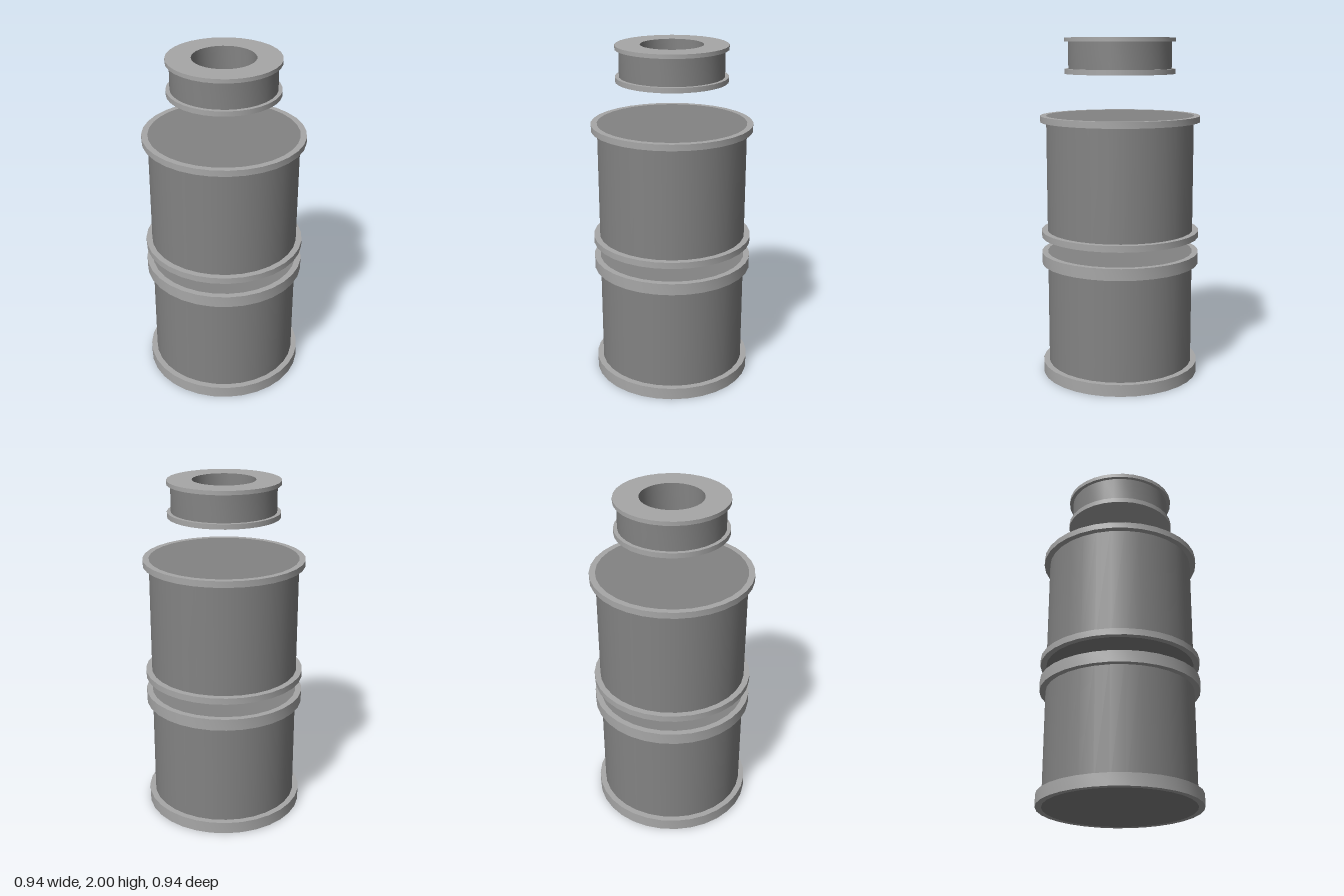
import * as THREE from 'three';
import { toCreasedNormals } from 'three/addons/utils/BufferGeometryUtils.js';

const SIDES = 32;
const darkGrey = new THREE.MeshStandardMaterial({ color: 0x838383 });
const lightGrey = new THREE.MeshStandardMaterial({ color: 0xa7a7a7 });

function addMesh(parent, name, geometry, material) {
  const mesh = new THREE.Mesh(geometry, material);
  mesh.name = name;
  parent.add(mesh);
}

// Closed drum between two heights
function drum(radius, y0, y1) {
  return new THREE.CylinderGeometry(radius, radius, y1 - y0, SIDES).translate(0, (y0 + y1) / 2, 0);
}

// Turned profile, listed from bottom to top along its outside, with sharp corners
function turned(profile) {
  const points = profile.map(([r, y]) => new THREE.Vector2(r, y));
  return toCreasedNormals(new THREE.LatheGeometry(points, SIDES), Math.PI / 6);
}

// Flange that sits around a drum
function flange(inner, outer, y0, y1) {
  return turned([[inner, y0], [outer, y0], [outer, y1], [inner, y1]]);
}

// Dark solid drum with a lighter flange flush with each end
function makeSection(name, y0, y1, bottomRim, topRim) {
  const section = new THREE.Group();
  section.name = name;
  const inner = 0.433, outer = 0.468;
  addMesh(section, 'drumBody', drum(inner, y0, y1), darkGrey);
  addMesh(section, 'bottomFlange', flange(inner, outer, y0, y0 + bottomRim), lightGrey);
  addMesh(section, 'topFlange', flange(inner, outer, y1 - topRim, y1), lightGrey);
  return section;
}

// Small neck with a blind bore, open at the top
function makeNeck() {
  const neck = new THREE.Group();
  neck.name = 'neck';
  const bore = 0.18, barrel = 0.3, rim = 0.322;
  const floor = 1.823, lip = 1.977, top = 2;
  addMesh(neck, 'neckBase', drum(rim, 1.794, floor), lightGrey);
  addMesh(neck, 'neckBarrel', turned([[barrel, floor], [barrel, lip]]), darkGrey);
  addMesh(neck, 'neckRim', turned([[barrel, lip], [rim, lip], [rim, top], [bore, top]]), lightGrey);
  addMesh(neck, 'neckBore', turned([[bore, top], [bore, floor]]), darkGrey);
  return neck;
}

export function createModel() {
  const model = new THREE.Group();
  model.name = 'stackedDrums';
  model.add(makeSection('lowerSection', 0, 0.746, 0.07, 0.068));
  model.add(makeSection('upperSection', 0.839, 1.554, 0.037, 0.036));
  model.add(makeNeck());
  return model;
}
